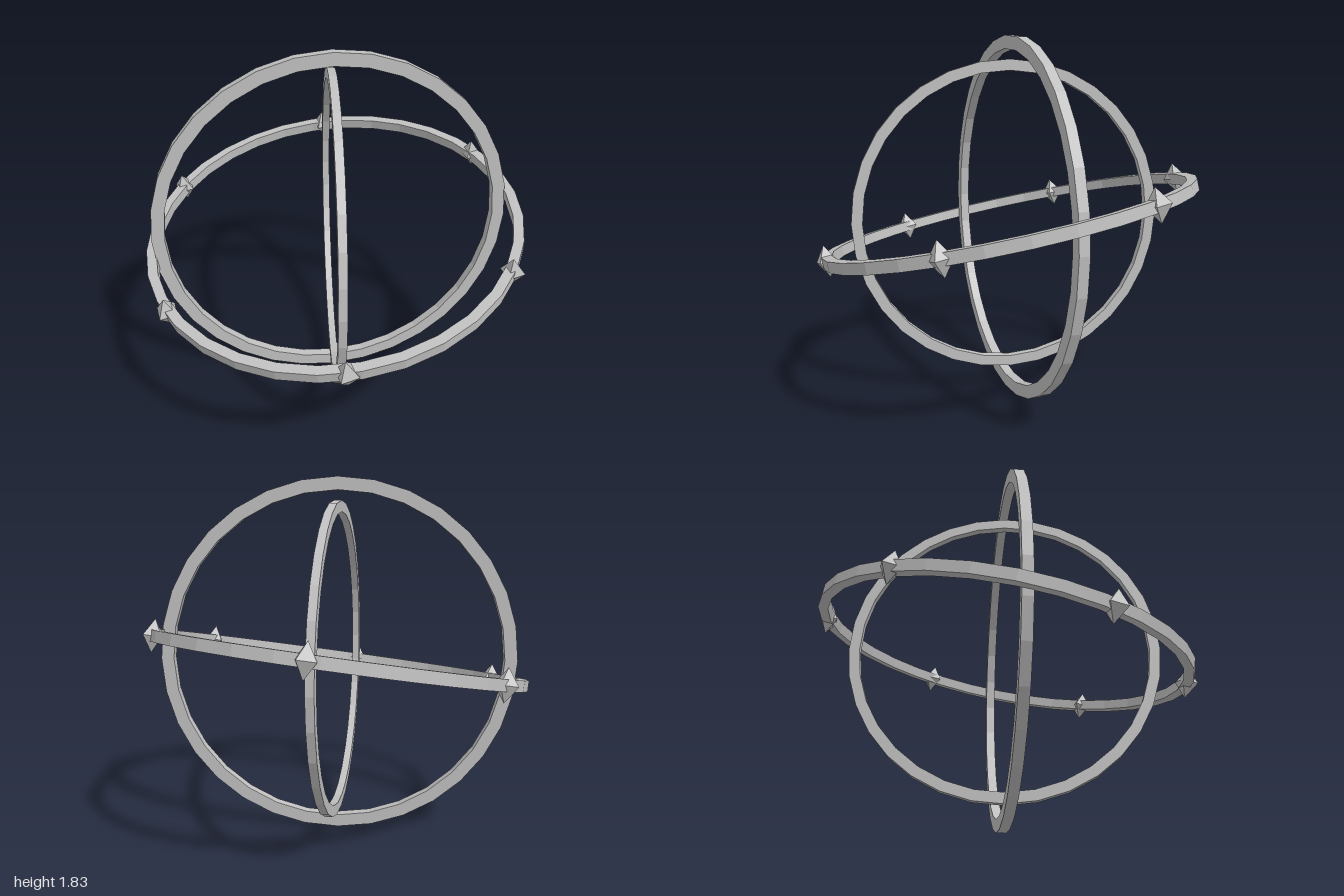
import * as THREE from 'three';

export function createModel() {
  const model = new THREE.Group();
  model.name = 'armillaryRings';
  const silver = new THREE.MeshStandardMaterial({ color: 0xc0c0c0, flatShading: true });
  silver.name = 'silver';

  // Flat band with a rectangular section, lying in the xz plane
  function ring(name, outer, inner, height) {
    const h = height / 2;
    const section = [[outer, -h], [outer, h], [inner, h], [inner, -h], [outer, -h]]
      .map(([r, y]) => new THREE.Vector2(r, y));
    const mesh = new THREE.Mesh(new THREE.LatheGeometry(section, 32), silver);
    mesh.name = name;
    return mesh;
  }

  const rings = new THREE.Group();
  rings.name = 'rings';
  rings.position.y = 0.915;
  model.add(rings);

  // Two upright rings, each turned about the vertical axis
  const upright = [
    ['largeUprightRing', 0.915, 0.85, 0.05, 36],
    ['smallUprightRing', 0.8, 0.745, 0.04, -60],
  ];
  for (const [name, outer, inner, width, turn] of upright) {
    const band = ring(name, outer, inner, width);
    band.rotation.set(Math.PI / 2, THREE.MathUtils.degToRad(turn), 0, 'YXZ');
    rings.add(band);
  }

  // Tilted ring carrying six pointed studs
  const tilted = new THREE.Group();
  tilted.name = 'tiltedRing';
  tilted.rotation.x = 0.22;
  tilted.add(ring('tiltedBand', 0.96, 0.91, 0.055));
  const studShape = new THREE.OctahedronGeometry(1).scale(0.06, 0.08, 0.06);
  for (let i = 0; i < 6; i++) {
    const a = (i * Math.PI) / 3;
    const stud = new THREE.Mesh(studShape, silver);
    stud.name = 'stud' + (i + 1);
    stud.position.set(0.94 * Math.cos(a), 0, 0.94 * Math.sin(a));
    tilted.add(stud);
  }
  rings.add(tilted);

  return model;
}
